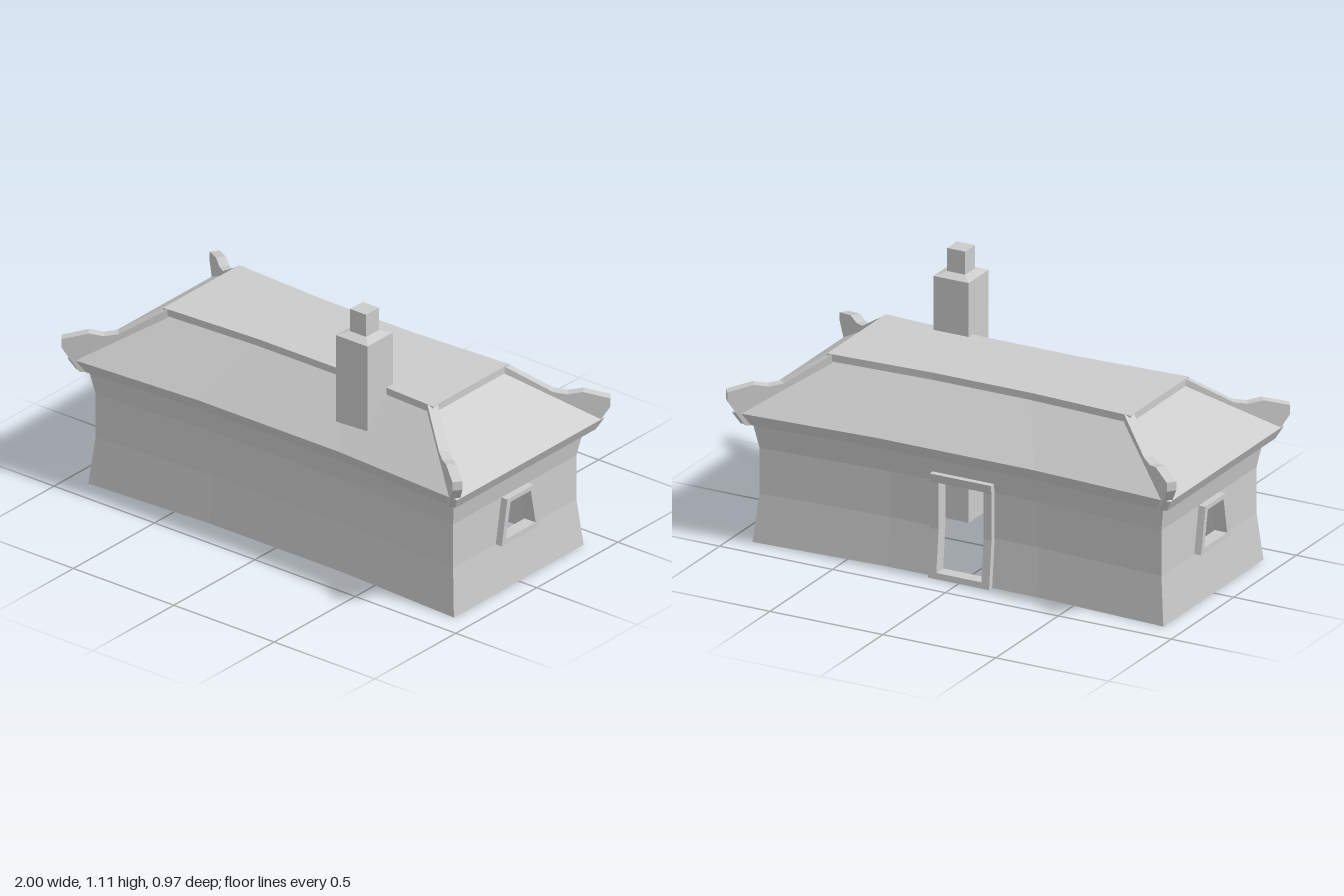
import * as THREE from 'three';

const mat = new THREE.MeshStandardMaterial({ color: 0xcccccc, flatShading: true });

function add(parent, name, geometry) {
  const mesh = new THREE.Mesh(geometry, mat);
  mesh.name = name;
  parent.add(mesh);
  return mesh;
}

// Flat-shaded surface from a list of quads, corners counter-clockwise
function quadGeometry(quads) {
  const pos = [];
  for (const [a, b, c, d] of quads) pos.push(...a, ...b, ...c, ...a, ...c, ...d);
  const g = new THREE.BufferGeometry();
  g.setAttribute('position', new THREE.Float32BufferAttribute(pos, 3));
  g.computeVertexNormals();
  return g;
}

// Quads between stacked closed rings; skip(i, y0, y1) leaves openings
function loft(rings, skip = () => false) {
  const quads = [];
  for (let j = 0; j < rings.length - 1; j++) {
    const lo = rings[j], hi = rings[j + 1], n = lo.length;
    for (let i = 0; i < n; i++) {
      const k = (i + 1) % n;
      if (!skip(i, lo[0][1], hi[0][1])) quads.push([lo[i], lo[k], hi[k], hi[i]]);
    }
  }
  return quads;
}

// Extrusion of a 2D outline, centred on its depth
function slab(points, depth, hole) {
  const shape = new THREE.Shape(points.map(p => new THREE.Vector2(...p)));
  if (hole) shape.holes.push(new THREE.Path(hole.map(p => new THREE.Vector2(...p))));
  return new THREE.ExtrudeGeometry(shape, { depth, bevelEnabled: false }).translate(0, 0, -depth / 2);
}

// Waisted wall profile: how far the wall is drawn in at height y
const waist = y => y < 0.2 ? 0.02 * y / 0.2 : y <= 0.39 ? 0.02 : 0.02 * (0.5 - y) / 0.11;
const windowHalf = y => 0.092 - 0.2 * (THREE.MathUtils.clamp(y, 0.222, 0.372) - 0.222);
const DOOR = 0.105, DOOR_TOP = 0.395, MID_Z = 0.37;

function wallRing(y, inset) {
  const d = waist(y) + inset;
  const x = 0.91 - d, z = 0.4 - d, m = MID_Z - d, w = windowHalf(y);
  return [
    [-x, y, z], [-0.33, y, m], [0.33, y, m],
    [x, y, z], [x, y, w], [x, y, -w],
    [x, y, -z], [0.33, y, -m], [DOOR, y, -m], [-DOOR, y, -m], [-0.33, y, -m],
    [-x, y, -z], [-x, y, -w], [-x, y, w]
  ];
}

function roofRing(x, z, mid, y, midX) {
  return [
    [-x, y, z], [-midX, y, mid], [midX, y, mid], [x, y, z],
    [x, y, -z], [midX, y, -mid], [-midX, y, -mid], [-x, y, -z]
  ];
}

function ringCap(r, up) {
  return [0, 1, 2].map(i => {
    const q = [r[i], r[i + 1], r[6 - i], r[7 - i]];
    return up ? q : q.reverse();
  });
}

export function createModel() {
  const house = new THREE.Group();
  house.name = 'house';

  // Hollow walls: inner skin downwards, foot rim, outer skin upwards
  const ys = [0, 0.2, 0.222, 0.372, 0.39, DOOR_TOP, 0.5];
  const rings = [
    ...[...ys].reverse().map(y => wallRing(y, 0.015)),
    ...ys.map(y => wallRing(y, 0))
  ];
  const opening = (i, a, b) => {
    const lo = Math.min(a, b), hi = Math.max(a, b);
    if (i === 8) return hi <= DOOR_TOP;
    return (i === 4 || i === 12) && lo >= 0.222 && hi <= 0.372;
  };
  add(house, 'walls', quadGeometry(loft(rings, opening)));

  // Hipped roof with slanted eaves and a flat raised top
  const roof = [
    roofRing(0.944, 0.433, 0.398, 0.5, 0.34),
    roofRing(0.97, 0.456, 0.42, 0.55, 0.35),
    roofRing(0.672, 0.234, 0.211, 0.745, 0.22),
    roofRing(0.672, 0.234, 0.211, 0.775, 0.22)
  ];
  add(house, 'roof', quadGeometry([
    ...loft(roof), ...ringCap(roof[0], false), ...ringCap(roof[3], true)
  ]));

  // Hip beams with upturned tips
  const beam = slab([
    [0, 0.7], [0.3, 0.5], [0.34, 0.5], [0.41, 0.605], [0.41, 0.642],
    [0.305, 0.668], [0.245, 0.657], [0.19, 0.666], [0, 0.775]
  ], 0.04);
  for (const sx of [-1, 1]) for (const sz of [-1, 1]) {
    const m = add(house, 'hipBeam', beam);
    m.position.set(0.66 * sx, 0, 0.222 * sz);
    m.rotation.y = Math.atan2(-0.608 * sz, 0.794 * sx);
  }

  // Tapered window frames in both end walls
  const frame = slab(
    [[-0.117, 0.2], [0.117, 0.2], [0.082, 0.39], [-0.082, 0.39]], 0.055,
    [[-0.092, 0.222], [0.092, 0.222], [0.062, 0.372], [-0.062, 0.372]]
  );
  for (const s of [-1, 1]) {
    const m = add(house, 'windowFrame', frame);
    m.rotation.y = s * Math.PI / 2;
    m.position.x = s * 0.8925;
  }

  // Door frame on the back, its jambs following the waisted wall
  const door = new THREE.Group();
  door.name = 'doorFrame';
  house.add(door);
  const strip = (y0, y1) => {
    const levels = [y0, ...[0.2, 0.39].filter(y => y > y0 && y < y1), y1];
    const out = levels.map(y => [MID_Z - waist(y) + 0.025, y]);
    const back = levels.map(y => [MID_Z - waist(y) - 0.03, y]).reverse();
    return [...out, ...back];
  };
  const doorPart = (name, y0, y1, width, x) => {
    const m = add(door, name, slab(strip(y0, y1), width));
    m.rotation.y = Math.PI / 2;
    m.position.x = x;
  };
  for (const s of [-1, 1]) doorPart('doorJamb', 0, 0.43, 0.035, s * 0.1175);
  doorPart('doorLintel', DOOR_TOP, 0.43, 0.2, 0);
  doorPart('doorSill', 0, 0.025, 0.2, 0);

  // Chimney: stack standing on the ground, sloped shoulder and flue
  const chimney = new THREE.Group();
  chimney.name = 'chimney';
  chimney.position.set(0.352, 0, 0.26);
  house.add(chimney);
  add(chimney, 'chimneyStack', new THREE.BoxGeometry(0.155, 1, 0.158)).position.y = 0.5;
  const shoulder = new THREE.CylinderGeometry(0.04 * Math.SQRT2, 0.0783 * Math.SQRT2, 0.014, 4).rotateY(Math.PI / 4);
  add(chimney, 'chimneyShoulder', shoulder).position.y = 1.007;
  add(chimney, 'chimneyFlue', new THREE.BoxGeometry(0.08, 0.1, 0.078)).position.y = 1.06;

  return house;
}
